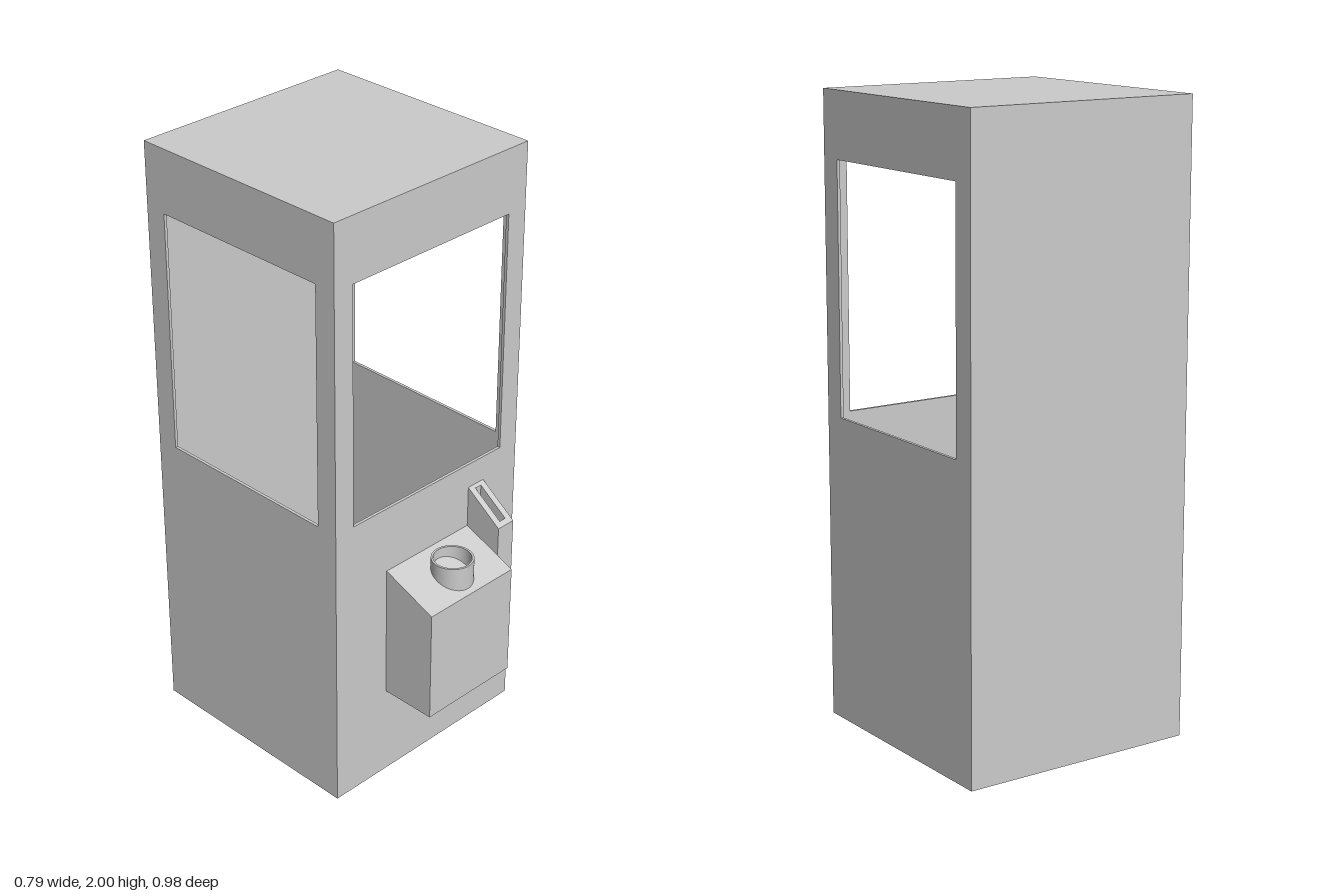
import * as THREE from 'three';

const T = 0.01; // panel thickness
const material = new THREE.MeshStandardMaterial({ color: 0xcccccc, flatShading: true, side: THREE.DoubleSide });
const smooth = new THREE.MeshStandardMaterial({ color: 0xcccccc, side: THREE.DoubleSide });

const polygon = (points) => new THREE.Shape(points.map(([a, b]) => new THREE.Vector2(a, b)));
const rect = (a0, b0, a1, b1) => polygon([[a0, b0], [a1, b0], [a1, b1], [a0, b1]]);

function extrude(shape, depth) {
  return new THREE.ExtrudeGeometry(shape, { depth, bevelEnabled: false });
}

function add(parent, name, geometry, x = 0, y = 0, z = 0, mat = material) {
  const mesh = new THREE.Mesh(geometry, mat);
  mesh.name = name;
  mesh.position.set(x, y, z);
  parent.add(mesh);
  return mesh;
}

// Extrudes a (z, y) side profile across x from x0 to x1
function addProfile(parent, name, shape, x0, x1) {
  return add(parent, name, extrude(shape, x1 - x0).rotateY(-Math.PI / 2), x1);
}

function group(parent, name) {
  const g = new THREE.Group();
  g.name = name;
  parent.add(g);
  return g;
}

export function createModel() {
  const model = new THREE.Group();
  model.name = 'vendingCabinet';
  const W = 0.395, BACK = -0.49, FRONT = 0.3, H = 2;
  const depth = FRONT - BACK, midZ = (FRONT + BACK) / 2;

  // Hollow cabinet with windows on the front and both sides
  const cabinet = group(model, 'cabinet');
  const side = rect(BACK, 0, FRONT, H);
  side.holes.push(rect(-0.415, 0.99, 0.225, 1.79));
  addProfile(cabinet, 'leftPanel', side, W - T, W);
  addProfile(cabinet, 'rightPanel', side, -W, -W + T);

  const front = rect(-W + T, 0, W - T, H);
  front.holes.push(rect(-0.322, 0.99, 0.322, 1.79), rect(-0.17, 0.32, 0.17, 0.764));
  add(cabinet, 'frontPanel', extrude(front, T), 0, 0, FRONT - T);

  const inner = 2 * (W - T);
  add(cabinet, 'backPanel', new THREE.BoxGeometry(inner, H, T), 0, H / 2, BACK + T / 2);
  for (const [name, y] of [['floor', T / 2], ['roof', H - T / 2]]) {
    add(cabinet, name, new THREE.BoxGeometry(inner, T, depth - 2 * T), 0, y, midZ);
  }

  // Dispensing box, open to the cabinet, with a sloped top
  const dispenser = group(model, 'dispenser');
  const outline = [[0.3, 0.31], [0.49, 0.31], [0.49, 0.69], [0.3, 0.765]];
  const shell = polygon([...outline, [0.3, 0.755], [0.48, 0.684], [0.48, 0.32], [0.3, 0.32]]);
  addProfile(dispenser, 'dispenserShell', shell, -0.17, 0.17);
  for (const x of [-0.18, 0.17]) addProfile(dispenser, 'dispenserSide', polygon(outline), x, x + T);

  // Round collar standing on the sloped top
  const ring = [[0.06, 0.69], [0.067, 0.69], [0.067, 0.78], [0.06, 0.78], [0.06, 0.69]];
  // Each straight run is its own lathe so the rim stays sharp
  const collar = group(dispenser, 'collar');
  for (let i = 0; i < ring.length - 1; i++) {
    const run = [ring[i], ring[i + 1]].map(([r, y]) => new THREE.Vector2(r, y));
    add(collar, 'collarSurface', new THREE.LatheGeometry(run, 40), 0, 0, 0.405, smooth);
  }

  // Coin box: two cheeks around a middle slice that is notched for the slot
  const coinBox = group(model, 'coinBox');
  const cheek = polygon([[0.3, 0.59], [0.43, 0.59], [0.43, 0.812], [0.3, 0.905]]);
  const notched = polygon([
    [0.3, 0.59], [0.43, 0.59], [0.43, 0.812], [0.415, 0.823],
    [0.415, 0.783], [0.31, 0.858], [0.31, 0.898], [0.3, 0.905],
  ]);
  addProfile(coinBox, 'coinBoxCheek', cheek, 0.18, 0.202);
  addProfile(coinBox, 'coinSlot', notched, 0.202, 0.227);
  addProfile(coinBox, 'coinBoxCheek', cheek, 0.227, 0.248);

  return model;
}
